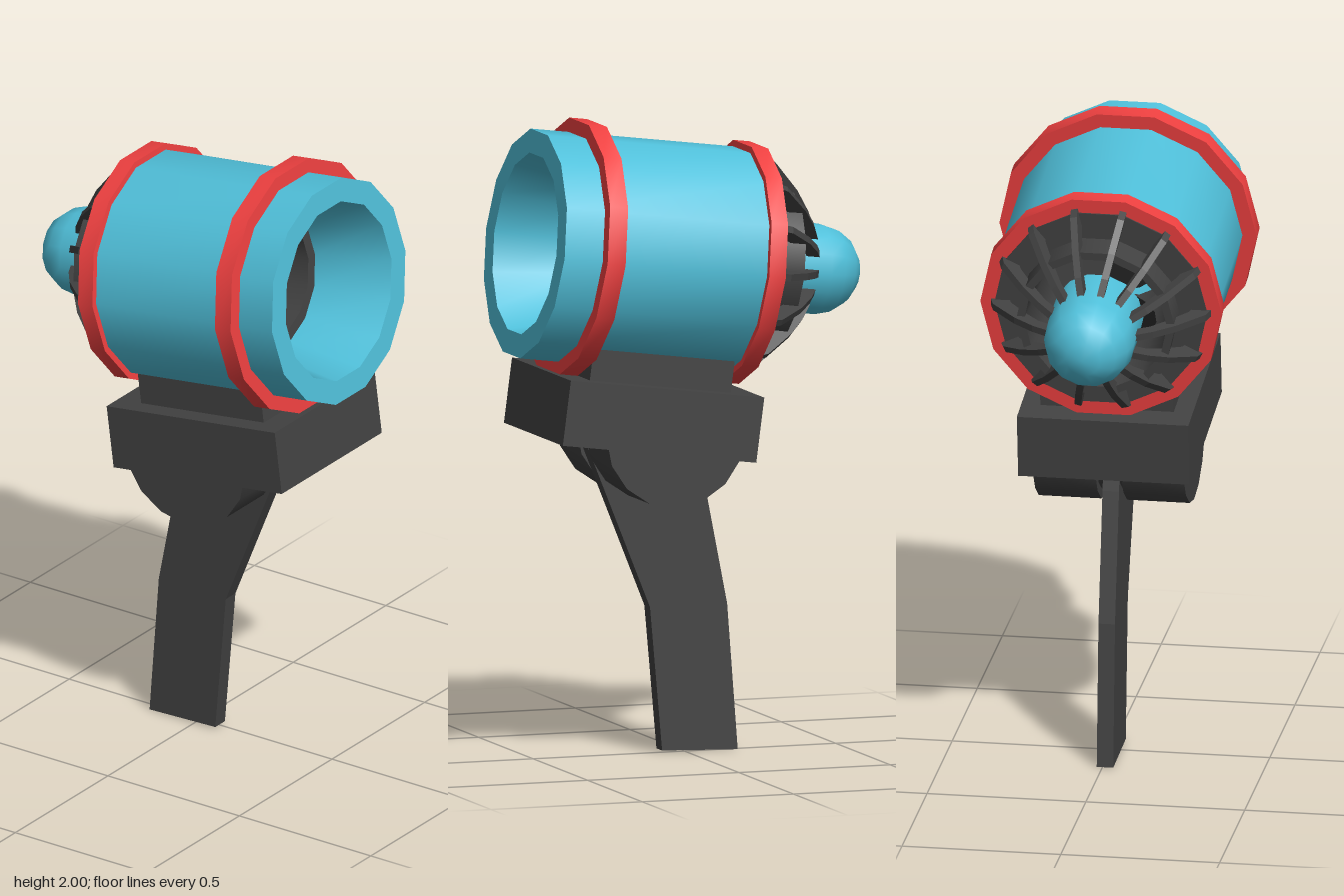
import * as THREE from 'three';
import { toCreasedNormals } from 'three/addons/utils/BufferGeometryUtils.js';

const SIDES = 14;
const TILT = THREE.MathUtils.degToRad(7.5);

const paint = (color) => new THREE.MeshStandardMaterial({ color });
const blue = paint(0x50c0da);
const red = paint(0xee4040);
const dark = paint(0x424242);
const darkThin = paint(0x2c2c2c);
darkThin.side = THREE.DoubleSide;

function add(parent, name, geometry, material, x = 0, y = 0, z = 0) {
  const mesh = new THREE.Mesh(geometry, material);
  mesh.name = name;
  mesh.position.set(x, y, z);
  parent.add(mesh);
  return mesh;
}

// Turned part along z, from [radius, z] points (outside first, rear to front)
function turned(points, closed = true) {
  const profile = points.map(([r, z]) => new THREE.Vector2(r, z));
  if (closed) profile.push(profile[0].clone());
  const geometry = new THREE.LatheGeometry(profile, SIDES, Math.PI / SIDES);
  geometry.rotateX(Math.PI / 2);
  return toCreasedNormals(geometry, 0.6);
}

const band = (inner, outer, z0, z1) =>
  turned([[outer, z0], [outer, z1], [inner, z1], [inner, z0]]);

// Flat outline extruded symmetrically about its own plane
function plate(points, thickness) {
  const shape = new THREE.Shape(points.map(([a, b]) => new THREE.Vector2(a, b)));
  const geometry = new THREE.ExtrudeGeometry(shape, { depth: thickness, bevelEnabled: false });
  return geometry.translate(0, 0, -thickness / 2);
}

function addTurbine(parent) {
  const turbine = new THREE.Group();
  turbine.name = 'turbine';
  turbine.position.y = 1.551;
  turbine.rotation.x = -TILT;
  parent.add(turbine);

  // Shell with tapered intake, and its two bands
  add(turbine, 'shell', turned([[0.36, -0.19], [0.36, 0.53], [0.285, 0.53], [0.23, 0.27], [0.23, -0.19]]), blue);
  add(turbine, 'frontBand', band(0.35, 0.405, 0.343, 0.403), red);
  add(turbine, 'rearBand', band(0.33, 0.38, -0.2, -0.145), red);

  // Inner duct and rear plate
  add(turbine, 'duct', turned([[0.25, -0.31], [0.235, 0.275], [0.195, 0.275], [0.225, -0.31]]), dark);
  add(turbine, 'rearPlate', band(0.235, 0.335, -0.205, -0.18), dark);

  // Tail cone
  add(turbine, 'tailCone', turned([
    [0, -0.575], [0.055, -0.565], [0.1, -0.535], [0.13, -0.49], [0.142, -0.44],
    [0.142, -0.25], [0, -0.25],
  ], false), blue);

  // Curved grille ribs
  const ribGeometry = plate([
    [0.35, -0.19], [0.335, -0.235], [0.255, -0.32], [0.19, -0.37], [0.135, -0.4],
    [0.135, -0.355], [0.175, -0.335], [0.225, -0.285], [0.28, -0.22], [0.29, -0.19],
  ], 0.022);
  ribGeometry.rotateX(Math.PI / 2);
  for (let i = 0; i < SIDES; i++) {
    const rib = add(turbine, 'grilleRib', ribGeometry, dark);
    rib.rotation.z = (i / SIDES) * Math.PI * 2;
  }

  // Four-bladed fan on a shaft
  const fan = new THREE.Group();
  fan.name = 'fan';
  fan.position.z = -0.08;
  turbine.add(fan);
  const shaft = new THREE.CylinderGeometry(0.03, 0.03, 0.2, 10).rotateX(Math.PI / 2);
  add(fan, 'fanShaft', shaft, dark, 0, 0, -0.08);
  const outline = new THREE.Shape();
  outline.moveTo(0, 0);
  outline.bezierCurveTo(0.06, 0.11, 0.17, 0.12, 0.195, 0);
  outline.bezierCurveTo(0.17, -0.12, 0.06, -0.11, 0, 0);
  const bladeGeometry = new THREE.ShapeGeometry(outline, 6).rotateX(0.4);
  for (let i = 0; i < 4; i++) {
    const blade = add(fan, 'fanBlade', bladeGeometry, darkThin);
    blade.rotation.z = Math.PI / 4 + i * Math.PI / 2;
  }
}

function addMount(parent) {
  // Saddle and block share the turbine's tilt
  add(parent, 'saddle', new THREE.BoxGeometry(0.42, 0.12, 0.47), dark, 0, 1.22, 0.15).rotation.x = -TILT;
  add(parent, 'mountBlock', new THREE.BoxGeometry(0.54, 0.205, 0.645), dark, 0, 1.079, 0.166).rotation.x = -TILT;

  // Half-round cheeks either side of the handle, joined by a smaller core
  const halfRound = (radius, width) => toCreasedNormals(
    new THREE.CylinderGeometry(radius, radius, width, 8, 1, false, Math.PI, Math.PI).rotateZ(Math.PI / 2), 0.6);
  for (const side of [-1, 1]) {
    add(parent, 'cheek', halfRound(0.23, 0.197), dark, -0.007 + side * 0.139, 1.03, 0.11);
  }
  add(parent, 'cheekCore', halfRound(0.2, 0.1), dark, -0.007, 1.03, 0.11);
}

function addHandle(parent) {
  // Bent blade handle, outlined as [z, y]
  const geometry = plate([
    [0.08, 0.008], [-0.17, 0], [-0.135, 0.46], [-0.055, 0.87], [-0.02, 1.02], [0.345, 1.02], [0.12, 0.46],
  ], 0.052);
  geometry.rotateY(-Math.PI / 2);
  add(parent, 'handle', geometry, dark, -0.008, 0, 0);
}

export function createModel() {
  const model = new THREE.Group();
  model.name = 'handheldTurbine';
  addTurbine(model);
  addMount(model);
  addHandle(model);
  return model;
}
